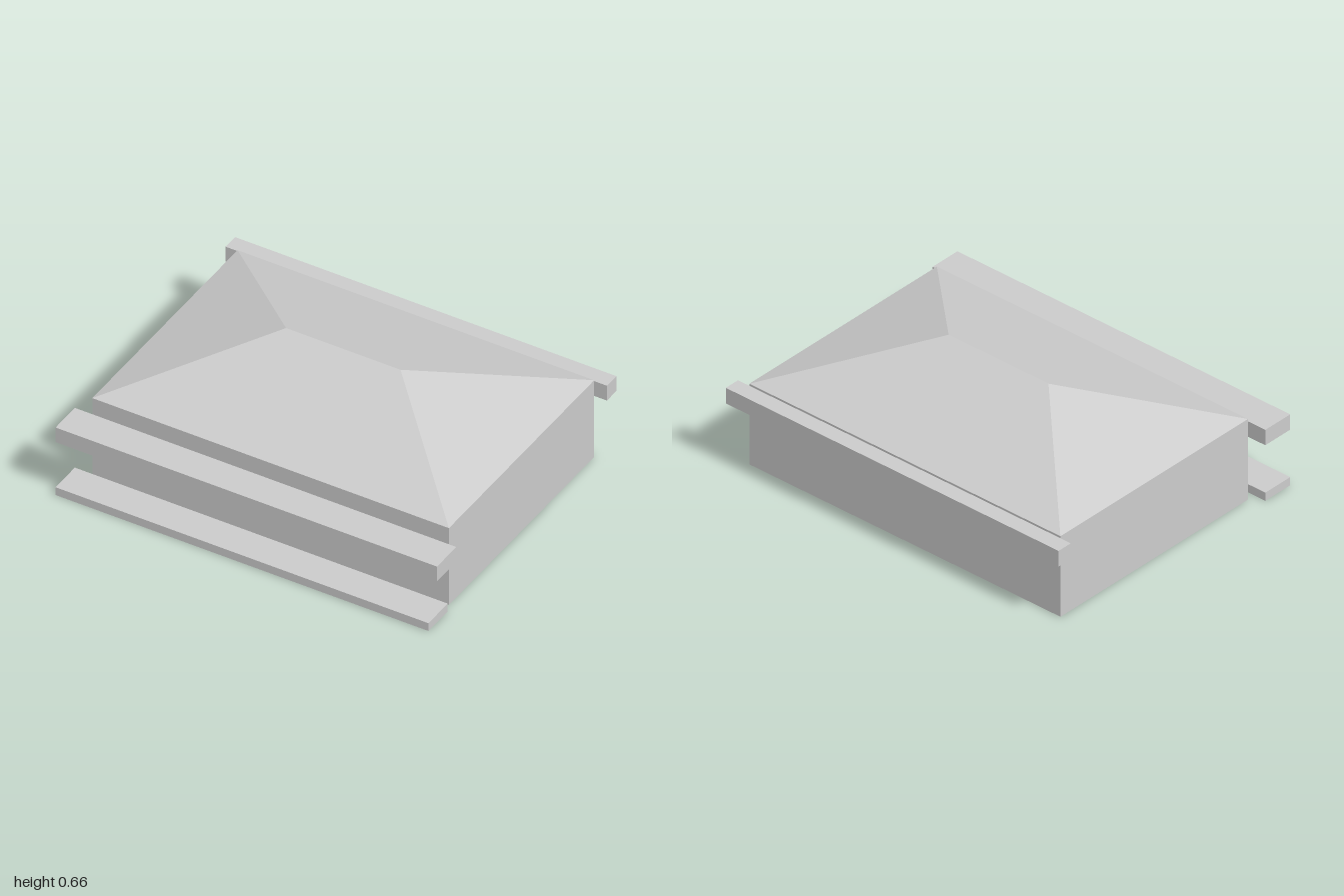
import * as THREE from 'three';

const plaster = new THREE.MeshStandardMaterial({ color: 0xcccccc, side: THREE.DoubleSide, flatShading: true });
plaster.name = 'light grey';

// Box shell without the listed faces (0 +x, 1 -x, 2 top, 3 bottom, 4 front, 5 back)
function openBox(name, [x0, x1], [y0, y1], [z0, z1], removed) {
  const geometry = new THREE.BoxGeometry(x1 - x0, y1 - y0, z1 - z0);
  const index = Array.from(geometry.index.array);
  geometry.setIndex(index.filter((_, i) => !removed.includes(Math.floor(i / 6))));
  geometry.clearGroups();
  geometry.translate((x0 + x1) / 2, (y0 + y1) / 2, (z0 + z1) / 2);
  const mesh = new THREE.Mesh(geometry, plaster);
  mesh.name = name;
  return mesh;
}

// Four slopes rising from a rectangular eave to a short ridge
function hipRoof(x, z0, z1, eave, ridgeX, ridgeY, ridgeZ) {
  const a = [-x, eave, z1], b = [x, eave, z1], c = [x, eave, z0], d = [-x, eave, z0];
  const l = [-ridgeX, ridgeY, ridgeZ], r = [ridgeX, ridgeY, ridgeZ];
  const triangles = [a, b, r, a, r, l, b, c, r, c, d, l, c, l, r, d, a, l];
  const geometry = new THREE.BufferGeometry();
  geometry.setAttribute('position', new THREE.Float32BufferAttribute(triangles.flat(), 3));
  geometry.computeVertexNormals();
  const mesh = new THREE.Mesh(geometry, plaster);
  mesh.name = 'hipRoof';
  return mesh;
}

export function createModel() {
  const model = new THREE.Group();
  model.name = 'building';
  model.add(
    // Hollow body, open to the roof and the ground
    openBox('walls', [-0.935, 0.935], [0, 0.435], [-0.7, 0.573], [2, 3]),
    hipRoof(0.935, -0.7, 0.573, 0.435, 0.3, 0.663, -0.064),
    // Detached ledges, hollow underneath
    openBox('frontStep', [-1, 0.955], [0, 0.044], [0.617, 0.786], [3]),
    openBox('frontCanopy', [-1, 1], [0.3, 0.383], [0.617, 0.786], [3]),
    openBox('backCanopy', [-1, 1], [0.343, 0.427], [-0.786, -0.703], [3])
  );
  return model;
}
